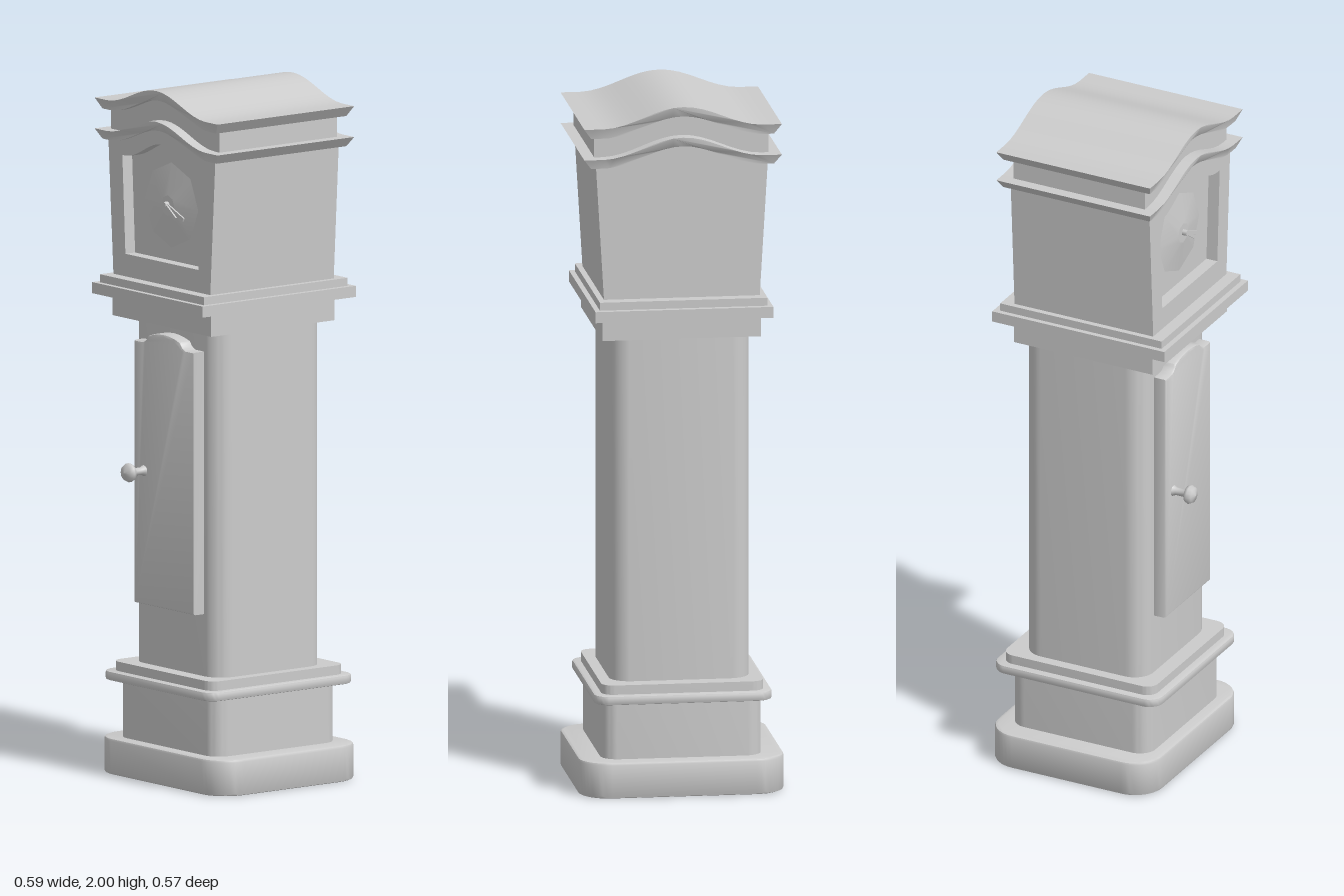
import * as THREE from 'three';
import { toCreasedNormals } from 'three/addons/utils/BufferGeometryUtils.js';

const material = new THREE.MeshStandardMaterial({ color: 0xcccccc });

function add(parent, name, geometry) {
  const mesh = new THREE.Mesh(geometry, material);
  mesh.name = name;
  parent.add(mesh);
  return mesh;
}

const smooth = (geometry, angle = 0.7) => toCreasedNormals(geometry, angle);

// Rounded rectangle around the origin
function roundedRect(w, d, r) {
  const s = new THREE.Shape();
  const x = w / 2, y = d / 2;
  s.moveTo(-x + r, -y);
  s.lineTo(x - r, -y);
  s.absarc(x - r, -y + r, r, -Math.PI / 2, 0);
  s.lineTo(x, y - r);
  s.absarc(x - r, y - r, r, 0, Math.PI / 2);
  s.lineTo(-x + r, y);
  s.absarc(-x + r, y - r, r, Math.PI / 2, Math.PI);
  s.lineTo(-x, -y + r);
  s.absarc(-x + r, -y + r, r, Math.PI, Math.PI * 1.5);
  return s;
}

// Upright block with rounded vertical corners and an optional eased edge
function block(parent, name, halfX, zBack, zFront, y0, y1, radius, bevel = 0) {
  const shape = roundedRect((halfX - bevel) * 2, zFront - zBack - bevel * 2, radius);
  const g = new THREE.ExtrudeGeometry(shape, {
    depth: y1 - y0 - bevel * 2, curveSegments: 5,
    bevelEnabled: bevel > 0, bevelSize: bevel, bevelThickness: bevel, bevelSegments: 2,
  });
  g.rotateX(-Math.PI / 2);
  g.translate(0, y0 + bevel, (zBack + zFront) / 2);
  return add(parent, name, smooth(g));
}

function box(parent, name, halfX, zBack, zFront, y0, y1) {
  const g = new THREE.BoxGeometry(halfX * 2, y1 - y0, zFront - zBack);
  g.translate(0, (y0 + y1) / 2, (zBack + zFront) / 2);
  return add(parent, name, g);
}

// Bonnet curve shared by the hood, cornice and roof
const arch = (x, rise = 0.058, w = 0.23) =>
  Math.abs(x) >= w ? 0 : rise * (0.5 + 0.5 * Math.cos((Math.PI * x) / w));

// Outline with an arched top; the underside is flat or follows the arch
function archedShape(bottomX, topX, y0, y1, followArch = false, rise = 0.058, w = 0.23) {
  const pts = [];
  const n = 20;
  for (let i = 0; i <= n; i++) {
    const x = bottomX * (2 * i / n - 1);
    if (followArch || i === 0 || i === n) pts.push(new THREE.Vector2(x, y0 + (followArch ? arch(x, rise, w) : 0)));
  }
  for (let i = 0; i <= n; i++) {
    const x = topX * (1 - 2 * i / n);
    pts.push(new THREE.Vector2(x, y1 + arch(x, rise, w)));
  }
  return new THREE.Shape(pts);
}

function extrudeZ(shape, zBack, zFront) {
  const g = new THREE.ExtrudeGeometry(shape, { depth: zFront - zBack, bevelEnabled: false });
  g.translate(0, 0, zBack);
  return g;
}

// Arched slab whose underside is drawn in on all four sides
function cornice(parent, name, y0, y1) {
  const zBack = -0.252, zFront = 0.241;
  const g = extrudeZ(archedShape(0.262, 0.283, y0, y1, true), zBack, zFront);
  const p = g.attributes.position;
  for (let i = 0; i < p.count; i++) {
    const low = p.getY(i) - arch(p.getX(i)) < (y0 + y1) / 2;
    if (low) p.setZ(i, p.getZ(i) > 0 ? zFront - 0.012 : zBack + 0.012);
  }
  return add(parent, name, smooth(g));
}

function createBase(root) {
  const base = new THREE.Group();
  base.name = 'base';
  block(base, 'foot', 0.295, -0.285, 0.242, 0, 0.105, 0.08, 0.008);
  block(base, 'plinth', 0.23, -0.24, 0.205, 0.1, 0.275, 0.05);
  block(base, 'plinthMoulding', 0.255, -0.285, 0.246, 0.272, 0.298, 0.04, 0.005);
  block(base, 'plinthMouldingCap', 0.232, -0.262, 0.222, 0.295, 0.325, 0.035);
  root.add(base);
}

function createTrunk(root) {
  const trunk = new THREE.Group();
  trunk.name = 'trunk';
  block(trunk, 'case', 0.2, -0.214, 0.177, 0.32, 1.33, 0.06);

  // Door with a raised, shouldered top
  const d = new THREE.Shape();
  d.moveTo(-0.129, 0.511);
  d.lineTo(0.132, 0.511);
  d.lineTo(0.132, 1.254);
  d.lineTo(0.1, 1.254);
  d.quadraticCurveTo(0.082, 1.258, 0.07, 1.276);
  d.quadraticCurveTo(0, 1.3, -0.067, 1.276);
  d.quadraticCurveTo(-0.079, 1.258, -0.097, 1.254);
  d.lineTo(-0.129, 1.254);
  const door = new THREE.ExtrudeGeometry(d, {
    depth: 0.04, curveSegments: 6, bevelSize: 0.007, bevelThickness: 0.007, bevelSegments: 2,
  });
  door.translate(0, 0, 0.168);
  add(trunk, 'door', smooth(door));

  // Turned knob pointing forward
  const profile = [[0.017, 0], [0.011, 0.012], [0.011, 0.04], [0.024, 0.046],
    [0.028, 0.056], [0.022, 0.068], [0, 0.074]].map(([r, h]) => new THREE.Vector2(r, h));
  const knob = new THREE.LatheGeometry(profile, 12);
  knob.rotateX(Math.PI / 2);
  add(trunk, 'doorKnob', knob).position.set(-0.09, 0.89, 0.213);
  root.add(trunk);
}

function createHood(root) {
  const hood = new THREE.Group();
  hood.name = 'hood';
  box(hood, 'neck', 0.227, -0.225, 0.22, 1.32, 1.39);
  box(hood, 'hoodMoulding', 0.255, -0.28, 0.272, 1.385, 1.417);
  box(hood, 'hoodMouldingCap', 0.24, -0.262, 0.256, 1.415, 1.44);

  // Case flaring upward, with a framed recess at the front
  add(hood, 'hoodCase', smooth(extrudeZ(archedShape(0.223, 0.247, 1.435, 1.84), -0.225, 0.185)));
  const frame = archedShape(0.223, 0.247, 1.435, 1.84);
  frame.holes.push(new THREE.Path(archedShape(0.168, 0.182, 1.505, 1.788, false, 0.055, 0.17).getPoints()));
  add(hood, 'dialFrame', smooth(extrudeZ(frame, 0.185, 0.22)));

  // Eight-sided domed dial
  const dial = new THREE.CylinderGeometry(0.03, 0.123, 0.014, 8);
  dial.rotateX(Math.PI / 2);
  add(hood, 'dial', dial).position.set(0, 1.665, 0.192);

  // Two hands and their hub
  [[0.085, -0.4], [0.06, -0.62]].forEach(([length, angle], i) => {
    const hand = new THREE.BoxGeometry(length, 0.01, 0.005);
    hand.translate(length / 2, 0, 0);
    const mesh = add(hood, i ? 'hourHand' : 'minuteHand', hand);
    mesh.position.set(0, 1.668, 0.203 + i * 0.005);
    mesh.rotation.z = angle;
  });
  const hub = new THREE.CylinderGeometry(0.009, 0.009, 0.016, 8);
  hub.rotateX(Math.PI / 2);
  add(hood, 'handHub', hub).position.set(0, 1.668, 0.205);

  // Bonnet: cornice, set-back frieze and roof
  cornice(hood, 'cornice', 1.825, 1.853);
  add(hood, 'frieze', smooth(extrudeZ(archedShape(0.25, 0.25, 1.84, 1.925, true), -0.215, 0.207)));
  cornice(hood, 'roof', 1.912, 1.942);
  root.add(hood);
}

export function createModel() {
  const root = new THREE.Group();
  root.name = 'longcaseClock';
  createBase(root);
  createTrunk(root);
  createHood(root);
  return root;
}
